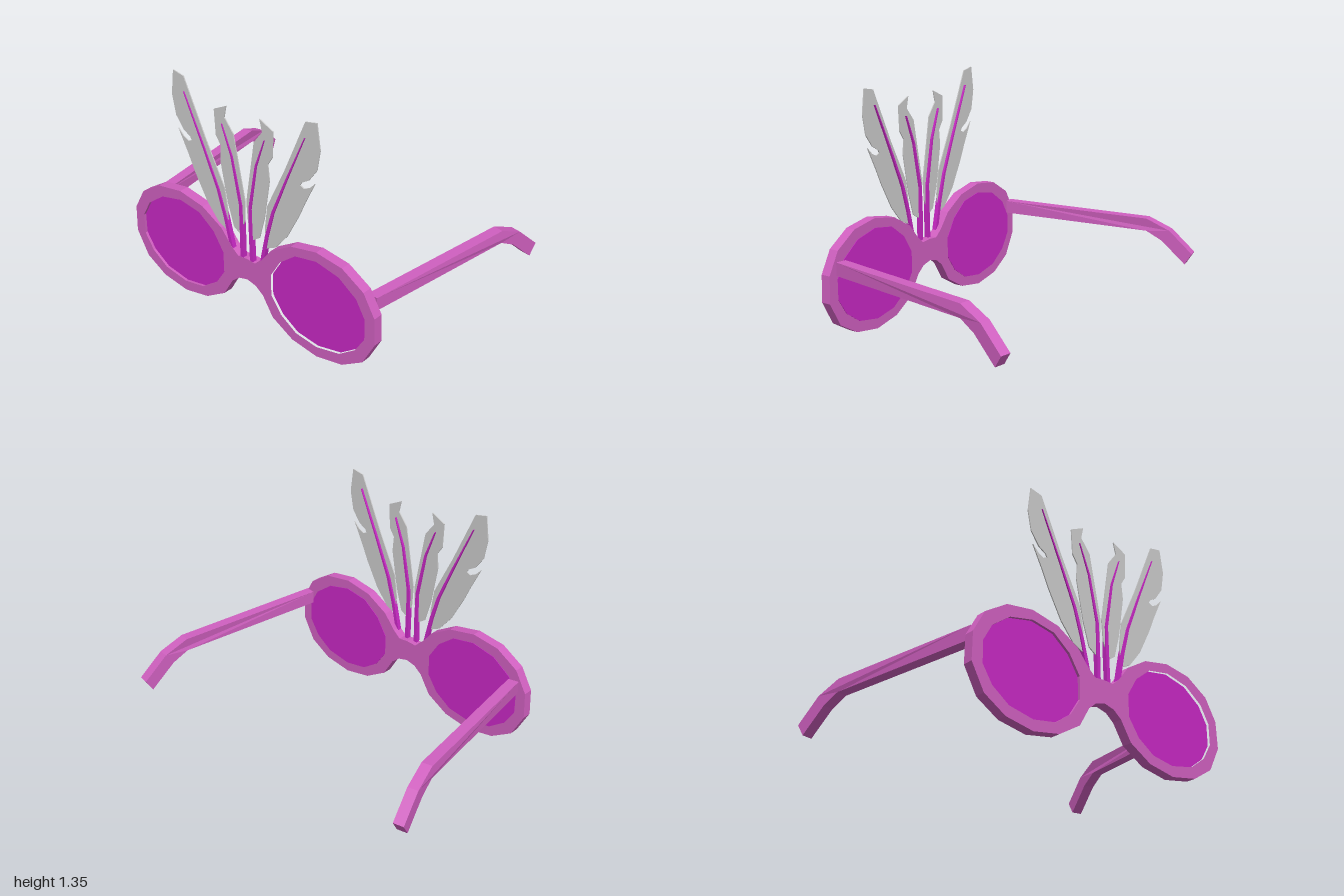
import * as THREE from 'three';

const mat = (color, extra = {}) => new THREE.MeshStandardMaterial({ color, ...extra });
const pts = (list, side = 1) => list.map(([x, y]) => new THREE.Vector2(x * side, y));

// Flat plate cut from a shape, filling the depth z0..z1
function plate(name, shape, z0, z1, material) {
  const geo = new THREE.ExtrudeGeometry(shape, { depth: z1 - z0, bevelEnabled: false });
  geo.translate(0, 0, z0);
  const mesh = new THREE.Mesh(geo, material);
  mesh.name = name;
  return mesh;
}

// Half of the front frame, from the top of the bridge round to its underside
const RIM = [[0, 0.405], [0.06, 0.4], [0.107, 0.44], [0.176, 0.527], [0.31, 0.607], [0.476, 0.64],
  [0.64, 0.615], [0.775, 0.53], [0.845, 0.405], [0.85, 0.25], [0.775, 0.11], [0.645, 0.03],
  [0.476, 0], [0.31, 0.03], [0.176, 0.11], [0.11, 0.22], [0.06, 0.26], [0, 0.275]];

const LENS = [[0.476, 0.585], [0.62, 0.553], [0.73, 0.473], [0.785, 0.375], [0.785, 0.255],
  [0.727, 0.163], [0.626, 0.09], [0.476, 0.06], [0.337, 0.083], [0.235, 0.153], [0.17, 0.25],
  [0.17, 0.375], [0.235, 0.48], [0.337, 0.56]];

// Temple arm seen from the side: [z, y]
const ARM = [[0.561, 0.475], [-0.36, 0.475], [-0.5, 0.415], [-0.638, 0.287], [-0.597, 0.22],
  [-0.455, 0.35], [-0.36, 0.4], [0.561, 0.4]];

// Feather vanes and the centre line of each quill: [x, y]
const FEATHERS = [
  {
    name: 'outerFeather',
    vane: [[0.406, 1.335], [0.478, 1.35], [0.497, 1.21], [0.476, 1.095], [0.425, 1.025], [0.38, 0.998],
      [0.37, 0.98], [0.395, 0.968], [0.43, 0.985], [0.465, 1.022], [0.4, 0.89], [0.36, 0.8], [0.28, 0.65],
      [0.2, 0.552], [0.135, 0.52], [0.13, 0.645], [0.15, 0.78], [0.267, 1.02]],
    quill: [[0.107, 0.43], [0.145, 0.6], [0.19, 0.755], [0.285, 0.98], [0.405, 1.25]],
  },
  {
    name: 'innerFeather',
    vane: [[0.112, 1.257], [0.198, 1.215], [0.192, 1.07], [0.16, 1.02], [0.168, 0.93], [0.128, 0.7],
      [0.09, 0.565], [0.045, 0.535], [0.012, 0.63], [0.005, 0.75], [0.037, 0.93], [0.07, 1.115],
      [0.128, 1.19]],
    quill: [[0.034, 0.39], [0.032, 0.57], [0.033, 0.72], [0.083, 0.985], [0.144, 1.15]],
  },
];

// Tapering strip outline around a quill's centre line
function quillOutline(line) {
  const half = (i) => 0.011 * (1 - 0.85 * (i / (line.length - 1)) ** 2);
  const left = line.map(([x, y], i) => [x - half(i), y]);
  const right = line.map(([x, y], i) => [x + half(i), y]);
  return [...left, ...right.reverse()];
}

// Temple arm splayed outward towards the ear
function temple(side, material) {
  const geo = new THREE.ExtrudeGeometry(new THREE.Shape(pts(ARM)), { depth: 0.06, bevelEnabled: false });
  geo.rotateY(-Math.PI / 2);
  geo.translate(0.03, 0, 0);
  const p = geo.attributes.position;
  for (let i = 0; i < p.count; i++) {
    const x = p.getX(i), z = p.getZ(i);
    const splay = 0.775 + (0.56 - z) * 0.15 + Math.max(0, -0.36 - z) * 0.05;
    p.setX(i, x + side * splay);
    p.setZ(i, z + side * x * 0.2);
  }
  geo.computeVertexNormals();
  const mesh = new THREE.Mesh(geo, material);
  mesh.name = side > 0 ? 'leftTemple' : 'rightTemple';
  return mesh;
}

export function createModel() {
  const group = new THREE.Group();
  group.name = 'featheredGlasses';
  const frameMat = mat(0xd060c0);
  const lensMat = mat(0xc828c4);
  const quillMat = mat(0xc828c4);
  const featherMat = mat(0xcccac8, { side: THREE.DoubleSide });

  // Front frame with both lens openings
  const otherHalf = RIM.slice(1, -1).reverse().map(([x, y]) => [-x, y]);
  const frame = new THREE.Shape(pts([...RIM, ...otherHalf]));
  for (const side of [1, -1]) frame.holes.push(new THREE.Path(pts(LENS, side)));
  group.add(plate('frontFrame', frame, 0.58, 0.637, frameMat));

  for (const side of [1, -1]) {
    const label = side > 0 ? 'left' : 'right';
    group.add(plate(label + 'Lens', new THREE.Shape(pts(LENS, side)), 0.577, 0.622, lensMat));
    group.add(temple(side, frameMat));

    // Feathers fanning up from the bridge
    for (const { name, vane, quill } of FEATHERS) {
      const feather = new THREE.Group();
      feather.name = label + name[0].toUpperCase() + name.slice(1);
      feather.add(plate('vane', new THREE.Shape(pts(vane, side)), 0.623, 0.629, featherMat));
      feather.add(plate('quill', new THREE.Shape(pts(quillOutline(quill), side)), 0.61, 0.636, quillMat));
      group.add(feather);
    }
  }
  return group;
}
